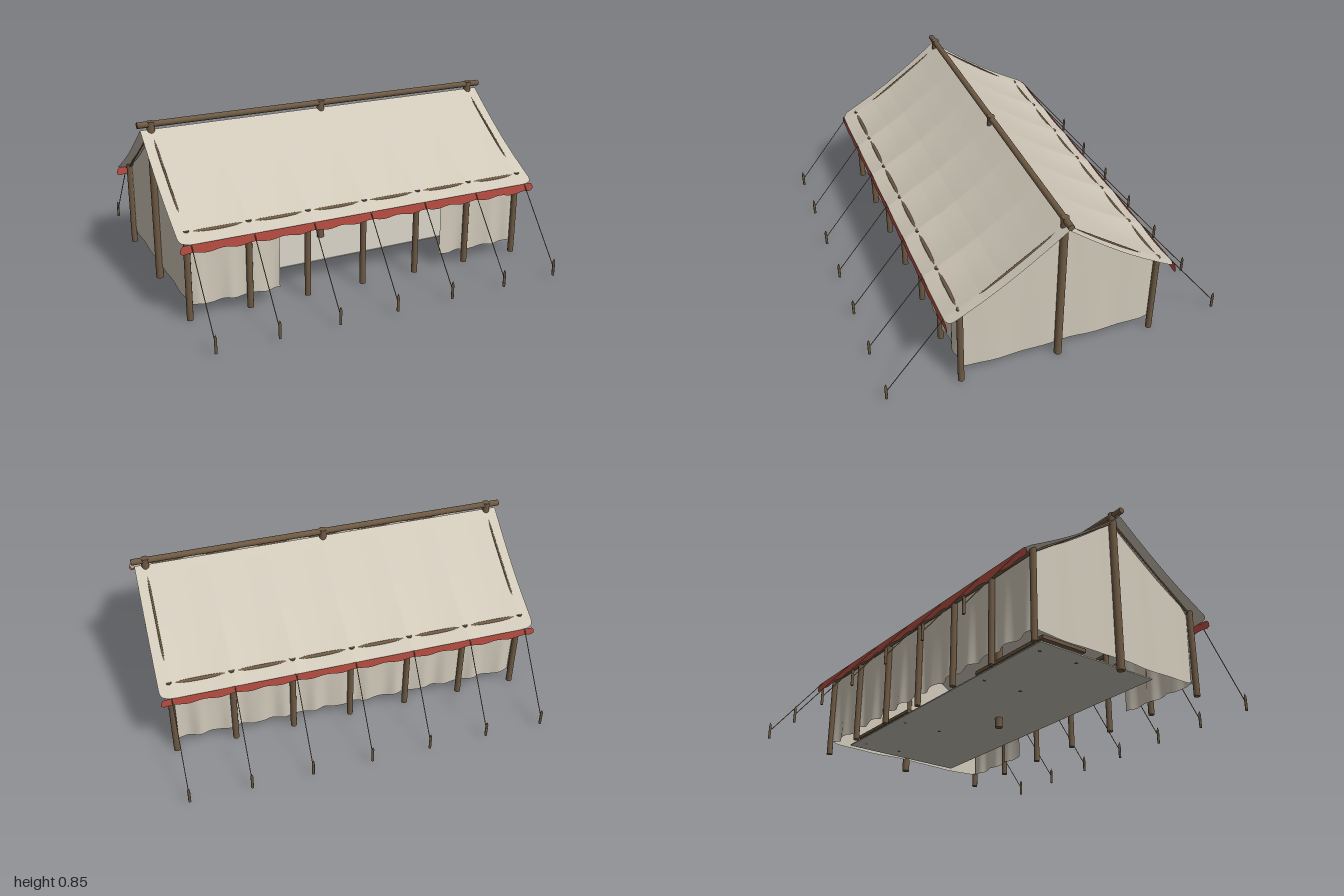
import * as THREE from 'three';
import { ParametricGeometry } from 'three/addons/geometries/ParametricGeometry.js';

const POSTS = [-0.93, -0.62, -0.31, 0, 0.31, 0.62, 0.93];
const HALF = 0.985;   // half length of the roof
const EAVE = 0.59;    // half depth of the roof

// sagging roof profile, height against distance from the ridge
const PROFILE = [[0, 0.811], [0.1, 0.734], [0.2, 0.661], [0.3, 0.592], [0.4, 0.53], [0.51, 0.468], [0.59, 0.425]];
function roofHeight(z) {
  const d = Math.min(Math.abs(z), EAVE);
  for (let i = 1; i < PROFILE.length; i++) {
    const [z0, y0] = PROFILE[i - 1], [z1, y1] = PROFILE[i];
    if (d <= z1) return y0 + (y1 - y0) * (d - z0) / (z1 - z0);
  }
  return PROFILE[PROFILE.length - 1][1];
}

export function createModel() {
  const model = new THREE.Group();
  const mat = (name, color, double) => {
    const m = new THREE.MeshStandardMaterial({ color });
    m.name = name;
    if (double) m.side = THREE.DoubleSide;
    return m;
  };
  const canvas = mat('canvas', 0xd0c8b9, true);
  const wood = mat('wood', 0x6d5943);
  const red = mat('red trim', 0xba4e43, true);
  const rope = mat('rope', 0x85755f);
  const groundsheet = mat('groundsheet', 0xc6c0b5);

  const add = (name, geo, material) => {
    const mesh = new THREE.Mesh(geo, material);
    mesh.name = name;
    model.add(mesh);
    return mesh;
  };
  const V = (x, y, z) => new THREE.Vector3(x, y, z);
  // round pole between two points
  const pole = (name, a, b, r, material = wood, sides = 14) => {
    const mesh = add(name, new THREE.CylinderGeometry(r, r, a.distanceTo(b), sides), material);
    mesh.position.copy(a).add(b).multiplyScalar(0.5);
    mesh.quaternion.setFromUnitVectors(V(0, 1, 0), b.clone().sub(a).normalize());
    return mesh;
  };
  const cloth = (name, fn, nu, nv, material = canvas) =>
    add(name, new ParametricGeometry((u, v, t) => t.set(...fn(u, v)), nu, nv), material);

  // ridge pole and the posts that clasp it
  pole('ridgePole', V(-1, 0.838, 0), V(1, 0.838, 0), 0.016);
  for (const x of [-0.93, 0, 0.93]) pole('ridgePost', V(x, 0, 0), V(x, 0.852, 0), 0.02, wood, 20);

  for (const s of [1, -1]) {
    // roof slope, dipping between posts, with rounded eave corners
    cloth('roofSlope', (u, v) => {
      const d = EAVE * v;
      const c = Math.max(0, d - (EAVE - 0.04));
      const half = HALF - 0.04 + Math.sqrt(Math.max(0, 0.0016 - c * c));
      const x = (2 * u - 1) * half;
      const dip = Math.abs(x) < 0.93 ? 0.01 * Math.abs(Math.sin(Math.PI * x / 0.31)) : 0;
      return [x, roofHeight(d) - dip * Math.min(1, d / 0.45), s * d];
    }, 120, 59);

    // scalloped trim along the eave with rounded ends
    cloth('eaveTrim', (u, v) => {
      const x = (2 * u - 1) * HALF;
      const e = Math.max(0, Math.abs(x) - (HALF - 0.02));
      const round = 0.02 - Math.sqrt(Math.max(0, 0.0004 - e * e));
      const top = 0.425 - round;
      const bottom = 0.379 + 0.005 * Math.cos(x * Math.PI * 2 / 0.155) + round * 0.6;
      return [x, top + (bottom - top) * v, s * 0.592];
    }, 160, 3, red);

    // eave beam, posts, guy ropes and stakes
    pole('eaveBeam', V(-0.93, 0.451, s * 0.515), V(0.93, 0.451, s * 0.515), 0.01);
    for (const x of POSTS) {
      pole('sidePost', V(x, 0, s * 0.512), V(x, 0.465, s * 0.512), 0.016);
      pole('guyRope', V(x, 0.424, s * EAVE), V(x, 0.062, s * 0.883), 0.0023, rope, 6);
      pole('stake', V(x, 0.015, s * 0.885), V(x, 0.09, s * 0.885), 0.007, wood, 8);
      const tip = add('stakeTip', new THREE.ConeGeometry(0.007, 0.02, 8), wood);
      tip.position.set(x, 0.1, s * 0.885);
    }

    // slim end rafters
    for (const x of [-0.93, 0.93]) pole('rafter', V(x, 0.801, 0), V(x, 0.45, s * 0.51), 0.005);
  }

  // long walls, hanging in folds that open toward the hem
  const longWall = (name, x0, x1, s) => cloth(name, (u, v) => {
    const x = x0 + (x1 - x0) * u;
    const fold = Math.sin(x * 42) + 0.25 * Math.sin(x * 71 + 1);
    const hem = 0.065 + 0.005 * Math.sin(x * 42 + 1);
    return [x, 0.455 + (hem - 0.455) * v, s * (0.5 + 0.009 * v * fold)];
  }, Math.ceil((x1 - x0) * 90), 10);
  longWall('backWall', -0.92, 0.92, -1);
  longWall('frontWallRight', -0.92, -0.455, 1);
  longWall('frontWallLeft', 0.465, 0.92, 1);

  // gable end walls with softened lower and eave corners
  for (const s of [1, -1]) {
    cloth('endWall', (u, v) => {
      const z = (2 * u - 1) * 0.505;
      const e = Math.max(0, Math.abs(z) - 0.455) / 0.05;
      const top = roofHeight(z) - 0.006 - 0.03 * e * e;
      const hem = 0.063 + 0.012 * e * e + 0.003 * Math.cos(z * 12);
      return [s * (0.918 + 0.003 * v * Math.sin(z * 24)), top + (hem - top) * v, z];
    }, 60, 10);
  }

  // rounded bar hung behind the front trim
  const bar = add('frontBar', new THREE.CapsuleGeometry(0.023, 0.34, 8, 18), wood);
  bar.rotation.z = Math.PI / 2;
  bar.position.set(0, 0.399, 0.541);

  // groundsheet
  const floor = add('groundsheet', new THREE.BoxGeometry(1.72, 0.006, 0.7), groundsheet);
  floor.position.set(0, 0.056, -0.07);

  // low wooden cots
  for (const s of [1, -1]) {
    const top = add('cot', new THREE.BoxGeometry(0.52, 0.018, 0.26), wood);
    top.position.set(s * 0.57, 0.104, -0.25);
    for (const x of [0.36, 0.78]) for (const z of [-0.36, -0.14]) {
      pole('cotLeg', V(s * x, 0.052, z), V(s * x, 0.1, z), 0.008, wood, 8);
    }
  }
  return model;
}
